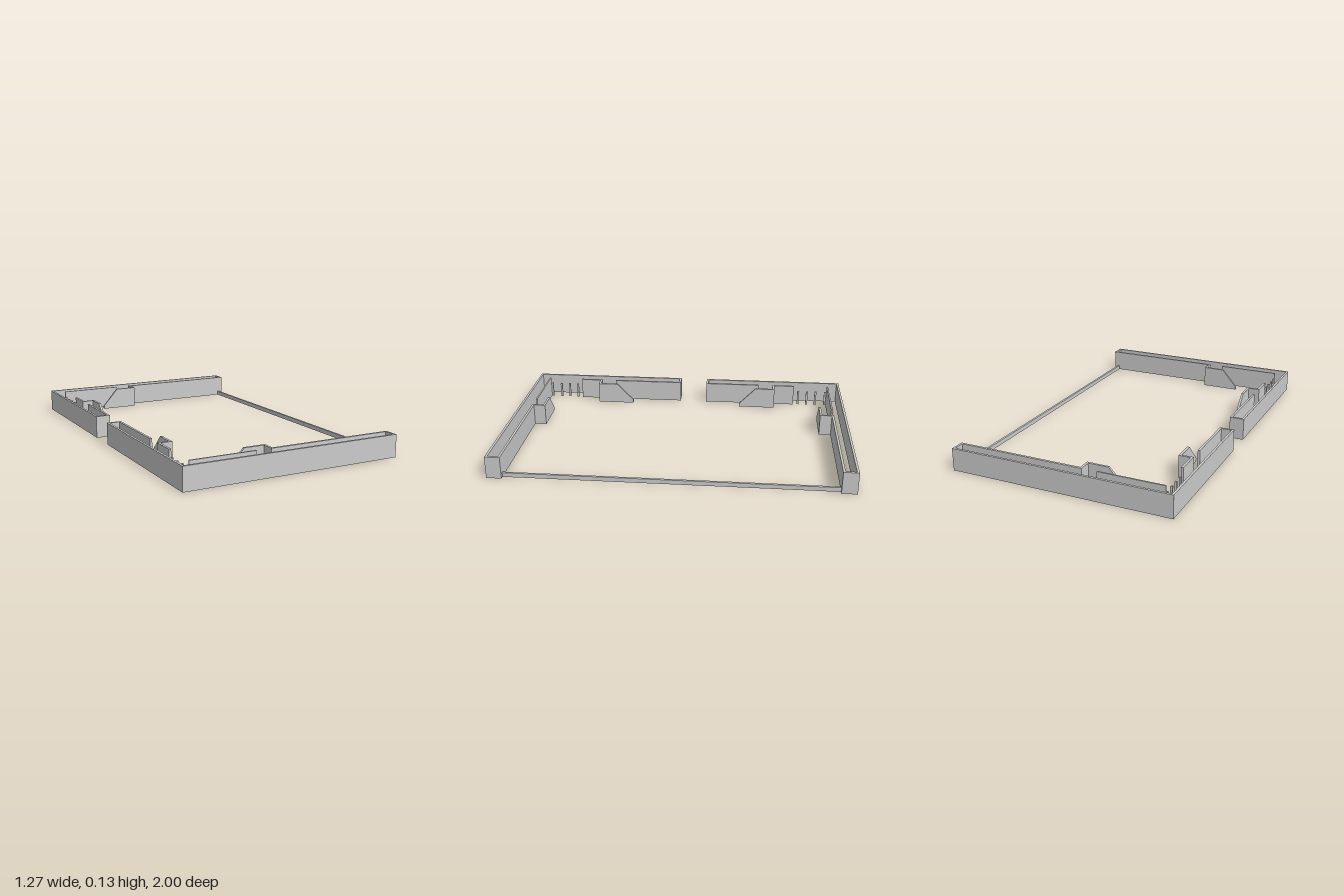
import * as THREE from 'three';

const H = 0.127; // wall height
const T = 0.013; // wall thickness
const material = new THREE.MeshStandardMaterial({ color: 0xcccccc, flatShading: true });

// Upright slab between two plan corners, standing on the ground
function wall(parent, name, x0, x1, z0, z1, height = H) {
  const geometry = new THREE.BoxGeometry(Math.abs(x1 - x0), height, Math.abs(z1 - z0));
  geometry.translate((x0 + x1) / 2, height / 2, (z0 + z1) / 2);
  const mesh = new THREE.Mesh(geometry, material);
  mesh.name = name;
  parent.add(mesh);
  return mesh;
}

// Upright plate whose top slopes down toward its free tip
function slopedPlate(root, shoulder, tip) {
  const shape = new THREE.Shape();
  shape.moveTo(root, 0);
  shape.lineTo(tip, 0);
  shape.lineTo(tip, 0.02);
  shape.lineTo(shoulder, H);
  shape.lineTo(root, H);
  shape.closePath();
  return new THREE.ExtrudeGeometry(shape, { depth: T, bevelEnabled: false });
}

// One half of the frame; s = 1 is the front half, s = -1 the back half
function frameHalf(s, gapEdge) {
  const half = new THREE.Group();
  half.name = s > 0 ? 'frontHalf' : 'backHalf';
  const add = (name, x0, x1, z0, z1, h) => wall(half, name, x0, x1, s * z0, s * z1, h);

  // Long outer wall with its hollow channel
  add('outerWall', -0.633, 0.633, 1 - T, 1);
  add('channelEnd', 0.62, 0.633, 0.915, 1 - T);
  add('channelInnerWall', -0.105, 0.62, 0.915, 0.915 + T);
  add('thinInnerWall', -0.562, -0.19, 0.919, 0.928);

  // Step and sloped tab on the long wall
  add('tabStep', -0.105, -0.105 + T, 0.845, 0.915);
  const sideTab = new THREE.Mesh(slopedPlate(-0.105, -0.22, -0.315), material);
  sideTab.name = 'longWallTab';
  sideTab.position.z = s > 0 ? 0.845 : -0.845 - T;
  half.add(sideTab);

  // Short outer wall and channel beside the gap
  add('shortOuterWall', -0.633, -0.62, gapEdge, 1 - T);
  add('gapEnd', -0.62, -0.549, gapEdge, gapEdge + T);
  add('shortInnerWall', -0.562, -0.549, gapEdge + T, 0.475);

  // Step and sloped tab on the short wall
  add('shortWallSection', -0.562, -0.549, 0.565, 0.705);
  add('shortTabStep', -0.549, -0.482, 0.565, 0.565 + T);
  const endTabGeometry = slopedPlate(s * 0.565, s * 0.455, s * 0.35);
  endTabGeometry.rotateY(-Math.PI / 2);
  const endTab = new THREE.Mesh(endTabGeometry, material);
  endTab.name = 'shortWallTab';
  endTab.position.x = -0.482;
  half.add(endTab);

  // Row of small upright pegs near the corner
  for (const z of [0.737, 0.793, 0.849, 0.911]) {
    add('peg', -0.565, -0.554, z - 0.006, z + 0.006, 0.09);
  }
  return half;
}

export function createModel() {
  const model = new THREE.Group();
  model.name = 'openFrame';
  model.add(frameHalf(1, 0.04), frameHalf(-1, 0.13));
  // Low tie bar joining the two halves
  wall(model, 'tieBar', 0.6, 0.613, -0.915, 0.915, 0.025);
  return model;
}
